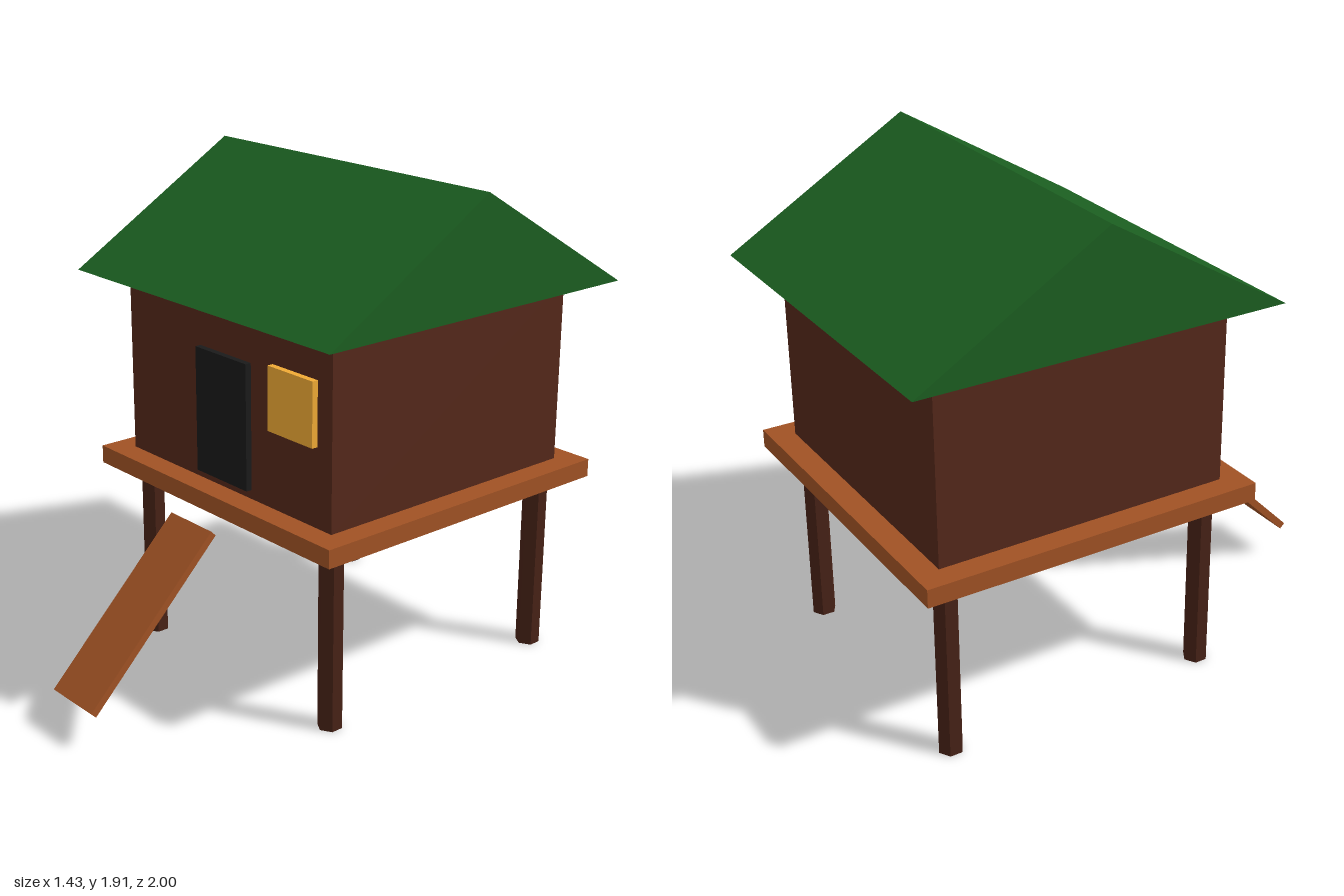
import * as THREE from 'three';

const CZ = -0.285; // centre line of the hut in z

const paint = (color) => new THREE.MeshStandardMaterial({ color, flatShading: true });
const mats = {
  roof: paint(0x1b5e20),
  wall: paint(0x54281a),
  leg: paint(0x472216),
  plank: paint(0xa05224),
  door: paint(0x1a1a1a),
  window: paint(0xf0aa35),
};

function add(group, name, geometry, material, x, y, z) {
  const mesh = new THREE.Mesh(geometry, material);
  mesh.name = name;
  mesh.position.set(x, y, z);
  group.add(mesh);
  return mesh;
}

const box = (w, h, d) => new THREE.BoxGeometry(w, h, d);

export function createModel() {
  const hut = new THREE.Group();
  hut.name = 'stiltHut';

  // Four six-sided stilts under the platform
  for (const sx of [-1, 1]) {
    for (const sz of [-1, 1]) {
      const name = (sz > 0 ? 'front' : 'back') + (sx > 0 ? 'Left' : 'Right') + 'Stilt';
      add(hut, name, new THREE.CylinderGeometry(0.047, 0.047, 0.72, 6), mats.leg,
        sx * 0.526, 0.36, CZ + sz * 0.53);
    }
  }

  // Platform and cabin
  add(hut, 'platform', box(1.335, 0.07, 1.335), mats.plank, 0, 0.745, CZ);
  add(hut, 'cabin', box(1.15, 0.71, 1.15), mats.wall, 0, 1.135, CZ);

  // Gable roof: solid triangular prism with its ridge along x
  const gable = new THREE.Shape([
    new THREE.Vector2(-0.715, 0),
    new THREE.Vector2(0.715, 0),
    new THREE.Vector2(0, 0.427),
  ]);
  const roof = new THREE.ExtrudeGeometry(gable, { depth: 1.43, bevelEnabled: false });
  roof.translate(0, 0, -0.715).rotateY(Math.PI / 2);
  add(hut, 'roof', roof, mats.roof, 0, 1.488, CZ);

  // Door and window slabs standing slightly proud of the front wall
  add(hut, 'door', box(0.288, 0.48, 0.048), mats.door, 0, 1.055, 0.29);
  add(hut, 'window', box(0.236, 0.24, 0.048), mats.window, 0.382, 1.2, 0.29);

  // Sloping entrance ramp
  const ramp = add(hut, 'ramp', box(0.238, 0.028, 0.767), mats.plank, 0, 0.409, 0.719);
  ramp.rotation.x = Math.PI / 4;

  return hut;
}
